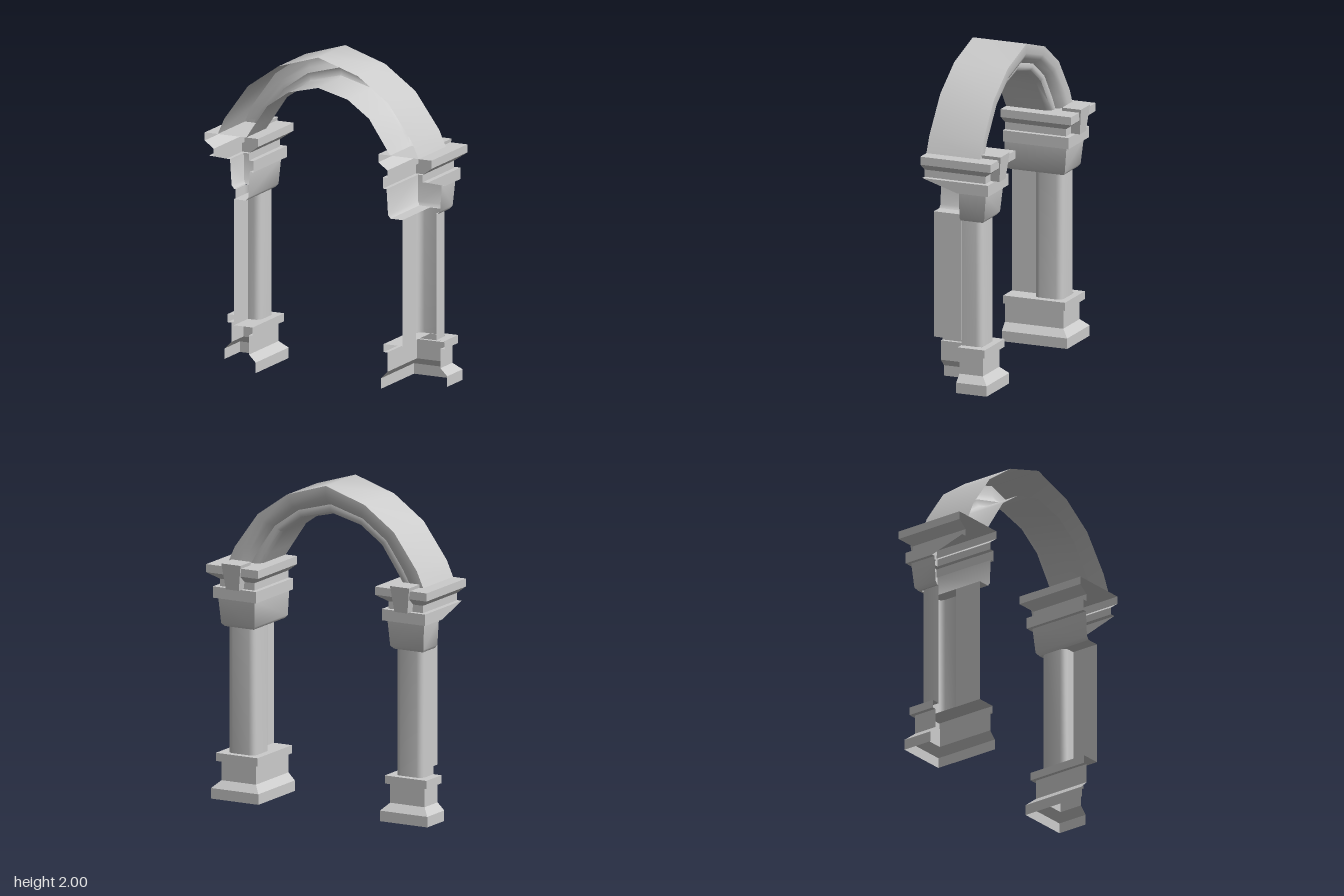
import * as THREE from 'three';
import { toCreasedNormals } from 'three/addons/utils/BufferGeometryUtils.js';

const FRONT = 0.24; // open front plane
const material = new THREE.MeshStandardMaterial({ color: 0xcccccc, side: THREE.DoubleSide });

// Skins rows of [x, y, z] points; side = -1 mirrors the result in x
function skin(name, rows, side = 1) {
  const n = rows[0].length;
  const index = [];
  for (let i = 0; i < rows.length - 1; i++) {
    for (let j = 0; j < n - 1; j++) {
      const a = i * n + j, b = a + n, c = b + 1, d = a + 1;
      if (side > 0) index.push(a, b, c, a, c, d);
      else index.push(a, c, b, a, d, c);
    }
  }
  const points = rows.flat().flatMap(([x, y, z]) => [x * side, y, z]);
  const geometry = new THREE.BufferGeometry();
  geometry.setAttribute('position', new THREE.Float32BufferAttribute(points, 3));
  geometry.setIndex(index);
  const mesh = new THREE.Mesh(toCreasedNormals(geometry, 0.7), material);
  mesh.name = name;
  return mesh;
}

// Moulded shell round the inner side, the back and part of the outer side
// profile rows: [y, inner x, outer x, back z, z where the outer side ends]
function moulding(name, profile, side) {
  return skin(name, profile.map(([y, inner, outer, back, end]) => [
    [inner, y, FRONT], [inner, y, back], [outer, y, back], [outer, y, end],
  ]), side);
}

const baseProfile = [
  [0, 0.424, 0.754, -0.19, 0.01],
  [0.065, 0.424, 0.754, -0.19, 0.01],
  [0.11, 0.468, 0.708, -0.145, 0.01],
  [0.23, 0.468, 0.708, -0.145, 0.01],
  [0.23, 0.444, 0.734, -0.167, 0.01],
  [0.28, 0.444, 0.734, -0.167, 0.01],
  [0.28, 0.57, 0.675, -0.12, 0.01],
];

const capitalProfile = [
  [1.06, 0.57, 0.675, -0.12, 0.01],
  [1.06, 0.49, 0.69, -0.135, 0.01],
  [1.08, 0.473, 0.706, -0.152, 0.01],
  [1.24, 0.463, 0.717, -0.168, 0.01],
  [1.24, 0.438, 0.74, -0.192, 0.01],
  [1.31, 0.438, 0.74, -0.192, FRONT],
  [1.31, 0.468, 0.708, -0.163, FRONT],
  [1.355, 0.468, 0.708, -0.163, FRONT],
  [1.4, 0.408, 0.768, -0.223, FRONT],
  [1.45, 0.408, 0.768, -0.223, FRONT],
  [1.45, 0.585, 0.585, 0, FRONT],
];

// Rounded column joined to a flat wall that runs to the front
function shaft(side) {
  const path = [[0.57, FRONT], [0.57, 0.06]];
  const r = 0.04;
  const corners = [[0.53, 0.02, 90], [0.53, -0.085, 180], [0.64, -0.085, 270]];
  for (const [cx, cz, start] of corners) {
    for (let k = 0; k <= 4; k++) {
      const a = THREE.MathUtils.degToRad(start + k * 22.5);
      path.push([cx + r * Math.cos(a), cz + r * Math.sin(a)]);
    }
  }
  path.push([0.68, 0.01]);
  return skin('shaft', [0.28, 1.06].map((y) => path.map(([x, z]) => [x, y, z])), side);
}

// Tapered block on the back of the capital
function bracket(side) {
  const geometry = new THREE.BoxGeometry(1, 1, 1);
  const p = geometry.attributes.position;
  for (let i = 0; i < p.count; i++) {
    const top = p.getY(i) > 0;
    const x = side * 0.588 + p.getX(i) * (top ? 0.134 : 0.09);
    const z = p.getZ(i) > 0 ? -0.113 : top ? -0.237 : -0.22;
    p.setXYZ(i, x, top ? 1.47 : 1.31, z);
  }
  geometry.computeVertexNormals();
  const mesh = new THREE.Mesh(geometry, material);
  mesh.name = 'bracket';
  return mesh;
}

// Arch: one moulded section swept over facets, open at the front
function arch() {
  const half = [ // outer x, outer y, inner x, inner y
    [0.68, 1.45, 0.487, 1.45],
    [0.635, 1.55, 0.44, 1.52],
    [0.475, 1.77, 0.345, 1.66],
    [0.27, 1.915, 0.2, 1.762],
    [0, 2, 0, 1.812],
  ];
  const mirrored = half.map(([a, b, c, d]) => [-a, b, -c, d]);
  const stations = [...mirrored, ...half.slice(0, -1).reverse()];
  const section = [ // 0 outer to 1 inner, z
    [0, FRONT], [0, -0.113], [0.32, -0.113], [0.5, -0.098], [0.66, -0.055],
    [0.8, -0.06], [0.92, -0.05], [1, -0.02], [1, FRONT],
  ];
  const rows = stations.map(([ox, oy, ix, iy]) =>
    section.map(([t, z]) => [ox + (ix - ox) * t, oy + (iy - oy) * t, z]));
  return skin('arch', rows);
}

export function createModel() {
  const model = new THREE.Group();
  model.name = 'archway';
  for (const side of [1, -1]) {
    const pillar = new THREE.Group();
    pillar.name = side > 0 ? 'leftPillar' : 'rightPillar';
    pillar.add(
      moulding('base', baseProfile, side),
      shaft(side),
      moulding('capital', capitalProfile, side),
      bracket(side),
    );
    model.add(pillar);
  }
  model.add(arch());
  return model;
}
